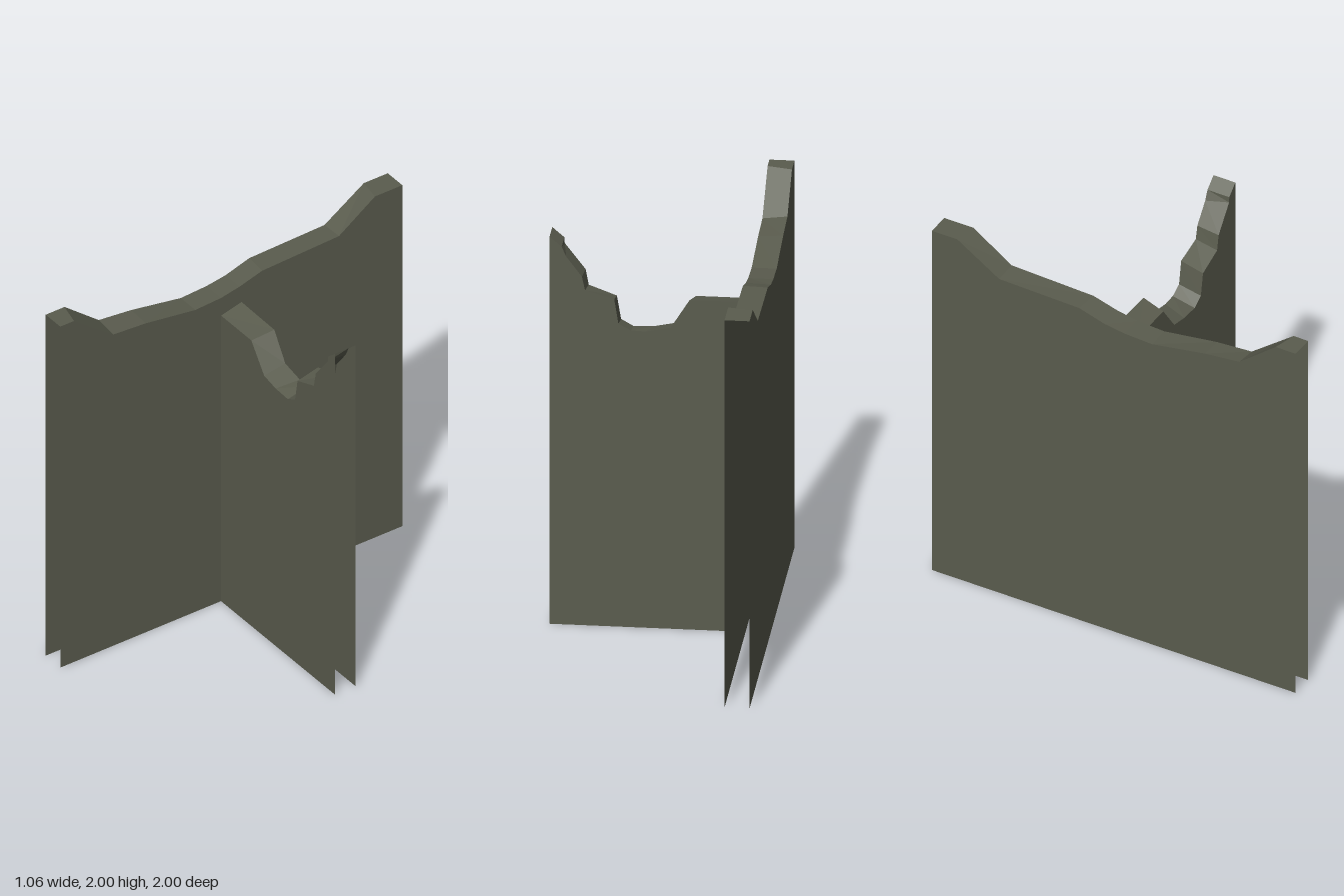
import * as THREE from 'three';

const stone = new THREE.MeshStandardMaterial({ color: 0x5a5c4e, side: THREE.DoubleSide });
stone.name = 'dark olive stone';

// Hollow wall, open at its ends and bottom: two upright faces joined by a broken top edge.
// front and back are matching lists of [x, y] along the top; half is half the thickness.
function wall(name, front, back, half) {
  const group = new THREE.Group();
  group.name = name;
  const pieces = { frontFace: [], backFace: [], brokenTop: [] };
  const quad = (list, a, b, c, d) => list.push(...a, ...b, ...c, ...a, ...c, ...d);
  for (let i = 0; i < front.length - 1; i++) {
    const [f0, f1] = [front[i], front[i + 1]].map(([x, y]) => [x, y, half]);
    const [b0, b1] = [back[i], back[i + 1]].map(([x, y]) => [x, y, -half]);
    const foot = ([x, , z]) => [x, 0, z];
    quad(pieces.frontFace, foot(f0), foot(f1), f1, f0);
    quad(pieces.backFace, foot(b1), foot(b0), b0, b1);
    quad(pieces.brokenTop, f0, f1, b1, b0);
  }
  for (const [part, points] of Object.entries(pieces)) {
    const geometry = new THREE.BufferGeometry();
    geometry.setAttribute('position', new THREE.Float32BufferAttribute(points, 3));
    geometry.computeVertexNormals();
    const mesh = new THREE.Mesh(geometry, stone);
    mesh.name = part;
    group.add(mesh);
  }
  return group;
}

export function createModel() {
  const model = new THREE.Group();
  model.name = 'ruinedWalls';

  // Long wall, running front to back
  const long = wall('longWall',
    [[-1, 2], [-0.92, 2], [-0.69, 1.825], [-0.5, 1.812], [-0.21, 1.77], [-0.06, 1.778],
      [0.05, 1.8], [0.18, 1.838], [0.63, 1.855], [0.84, 2], [1, 2]],
    [[-1, 2], [-0.89, 2], [-0.69, 1.84], [-0.5, 1.82], [-0.21, 1.77], [-0.06, 1.778],
      [0.05, 1.795], [0.19, 1.838], [0.63, 1.85], [0.86, 2], [1, 2]], 0.06);
  long.rotation.y = Math.PI / 2;
  long.position.x = -0.47;
  model.add(long);

  // Short wall, standing out from the middle of the long one
  model.add(wall('shortWall',
    [[-0.41, 1.675], [-0.16, 1.675], [-0.055, 1.53], [0.04, 1.51], [0.14, 1.506], [0.2, 1.54],
      [0.22, 1.66], [0.355, 1.71], [0.37, 1.79], [0.47, 1.92], [0.472, 1.95], [0.53, 2]],
    [[-0.41, 1.705], [-0.14, 1.7], [-0.05, 1.555], [0.07, 1.53], [0.14, 1.533], [0.2, 1.565],
      [0.22, 1.69], [0.36, 1.73], [0.375, 1.8], [0.45, 1.9], [0.472, 1.95], [0.53, 2]], 0.06));

  return model;
}
